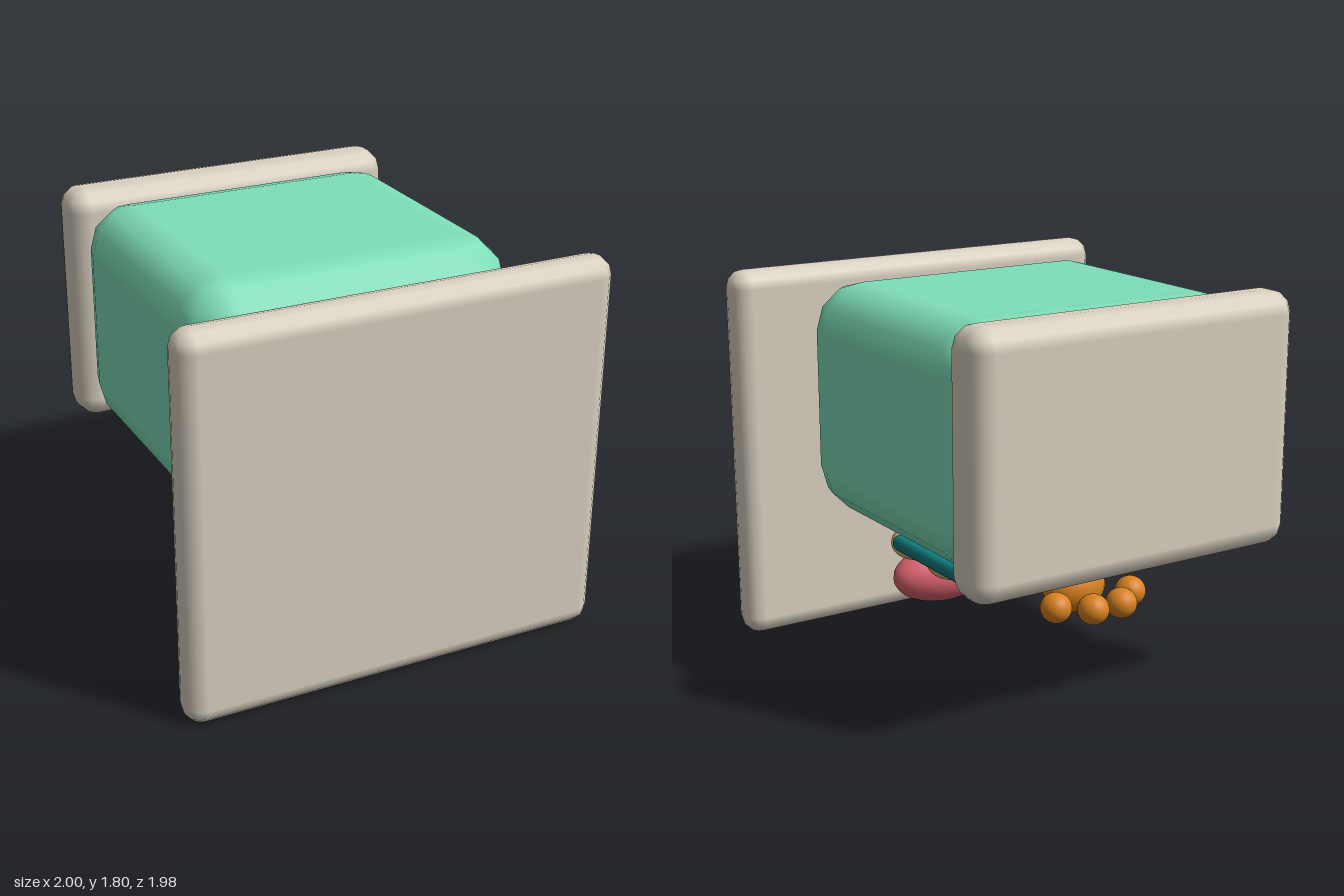
import * as THREE from 'three';

const mat = (name, color) => {
  const m = new THREE.MeshStandardMaterial({ color });
  m.name = name;
  return m;
};

// Box with rounded edges and corners: rings of latitude pushed outward to the eight corners
function roundedBox(w, h, d, r, segs = 3) {
  const pos = [], nor = [], idx = [];
  const half = [w / 2 - r, h / 2 - r, d / 2 - r];
  const step = Math.PI / 2 / segs;
  const quadrants = [[1, 1], [-1, 1], [-1, -1], [1, -1]]; // signs of x and z
  const ringSize = 4 * (segs + 1);
  const rings = 2 * (segs + 1);
  for (const sy of [1, -1]) {
    for (let i = 0; i <= segs; i++) {
      const lat = sy > 0 ? Math.PI / 2 - i * step : -i * step;
      quadrants.forEach(([sx, sz], q) => {
        for (let j = 0; j <= segs; j++) {
          const lon = q * Math.PI / 2 + j * step;
          const n = [Math.cos(lat) * Math.cos(lon), Math.sin(lat), Math.cos(lat) * Math.sin(lon)];
          pos.push(sx * half[0] + n[0] * r, sy * half[1] + n[1] * r, sz * half[2] + n[2] * r);
          nor.push(...n);
        }
      });
    }
  }
  for (let i = 0; i < rings - 1; i++) {
    for (let j = 0; j < ringSize; j++) {
      const a = i * ringSize + j, b = i * ringSize + (j + 1) % ringSize;
      const c = a + ringSize, e = b + ringSize;
      idx.push(a, b, c, b, e, c);
    }
  }
  // flat top and bottom, one corner per quadrant
  const [p, q, s, t] = [0, 1, 2, 3].map((k) => k * (segs + 1));
  const o = (rings - 1) * ringSize;
  idx.push(p, s, q, p, t, s, o + p, o + q, o + s, o + p, o + s, o + t);
  const g = new THREE.BufferGeometry();
  g.setAttribute('position', new THREE.Float32BufferAttribute(pos, 3));
  g.setAttribute('normal', new THREE.Float32BufferAttribute(nor, 3));
  g.setIndex(idx);
  return g;
}

export function createModel() {
  const model = new THREE.Group();
  model.name = 'model';
  const cream = mat('cream', 0xd9d0c0);
  const mint = mat('mint', 0x7fdfb9);
  const teal = mat('teal', 0x0f7a7c);
  const rose = mat('rose', 0xdc6470);
  const tan = mat('tan', 0xdab780);
  const orange = mat('orange', 0xd8811f);

  const add = (parent, name, geometry, material, x, y, z) => {
    const mesh = new THREE.Mesh(geometry, material);
    mesh.name = name;
    mesh.position.set(x, y, z);
    parent.add(mesh);
    return mesh;
  };
  const group = (name) => {
    const g = new THREE.Group();
    g.name = name;
    model.add(g);
    return g;
  };
  const ball = (parent, name, material, [x, y, z], [rx, ry, rz]) =>
    add(parent, name, new THREE.SphereGeometry(1, 32, 20), material, x, y, z).scale.set(rx, ry, rz);

  // Upright panels and the large block between them
  add(model, 'frontPanel', roundedBox(2, 1.785, 0.185, 0.085), cream, 0, 0.8925, 0.8975);
  add(model, 'backPanel', roundedBox(1.64, 1.145, 0.25, 0.1), cream, 0, 1.23, -0.865);
  add(model, 'block', roundedBox(1.555, 1.075, 1.43, 0.22), mint, 0, 1.23, -0.105);

  // Thin tray under the block
  add(model, 'tray', roundedBox(0.91, 0.073, 0.885, 0.03), teal, 0, 0.513, -0.063);

  // Large egg behind the front panel
  ball(model, 'largeEgg', rose, [0, 0.205, 0.655], [0.283, 0.15, 0.147]);

  // Two rows of three pebbles
  const pebbles = group('pebbles');
  for (const z of [0.49, 0.15]) {
    for (const x of [-0.245, 0, 0.245]) {
      ball(pebbles, 'pebble', tan, [x, 0.453, z], [0.135, 0.091, 0.108]);
    }
  }

  // Pad with four round toes
  const paw = group('paw');
  ball(paw, 'pad', orange, [0, 0.47, -0.484], [0.152, 0.118, 0.117]);
  for (const side of [-1, 1]) {
    ball(paw, 'outerToe', orange, [side * 0.2, 0.453, -0.638], [0.07, 0.068, 0.072]);
    ball(paw, 'innerToe', orange, [side * 0.075, 0.453, -0.742], [0.07, 0.068, 0.072]);
  }

  return model;
}
